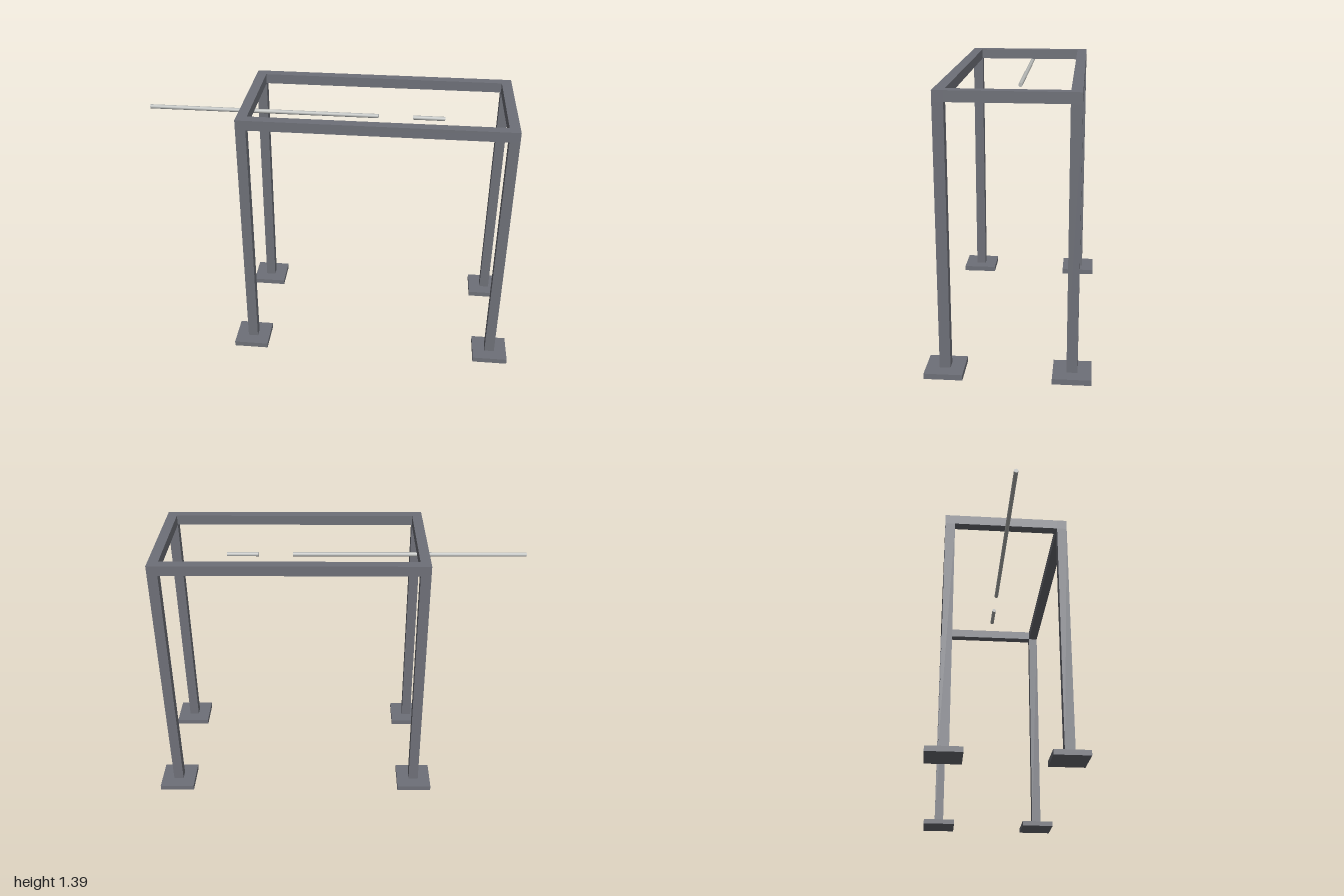
import * as THREE from 'three';

export function createModel() {
  const model = new THREE.Group();
  model.name = 'gantryFrame';
  const steel = new THREE.MeshStandardMaterial({ color: 0x6e7078 });
  steel.name = 'dark steel';
  const metal = new THREE.MeshStandardMaterial({ color: 0xb8bab8 });
  metal.name = 'light metal';

  const bar = 0.053, height = 1.387, footWidth = 0.187, footHeight = 0.028;
  const xs = [-0.441, 0.906], zs = [-0.307, 0.307];
  const beamY = height - bar / 2;

  function box(name, w, h, d, x, y, z) {
    const mesh = new THREE.Mesh(new THREE.BoxGeometry(w, h, d), steel);
    mesh.name = name;
    mesh.position.set(x, y, z);
    model.add(mesh);
  }

  // Posts standing on square feet
  const postHeight = height - bar - footHeight;
  for (const x of xs) for (const z of zs) {
    box('foot', footWidth, footHeight, footWidth, x, footHeight / 2, z);
    box('post', bar, postHeight, bar, x, footHeight + postHeight / 2, z);
  }

  // Rectangular top frame
  const span = xs[1] - xs[0], middle = (xs[0] + xs[1]) / 2;
  for (const z of zs) box('longBeam', span + bar, bar, bar, middle, beamY, z);
  for (const x of xs) box('crossBeam', bar, bar, zs[1] - zs[0] - bar, x, beamY, 0);

  // Round rods floating along the centre line
  function rod(name, x0, x1) {
    const geometry = new THREE.CylinderGeometry(0.0112, 0.0112, x1 - x0, 16);
    geometry.rotateZ(Math.PI / 2);
    const mesh = new THREE.Mesh(geometry, metal);
    mesh.name = name;
    mesh.position.set((x0 + x1) / 2, 1.291, 0);
    model.add(mesh);
  }
  rod('longRod', -1, 0.23);
  rod('shortRod', 0.41, 0.578);

  return model;
}
